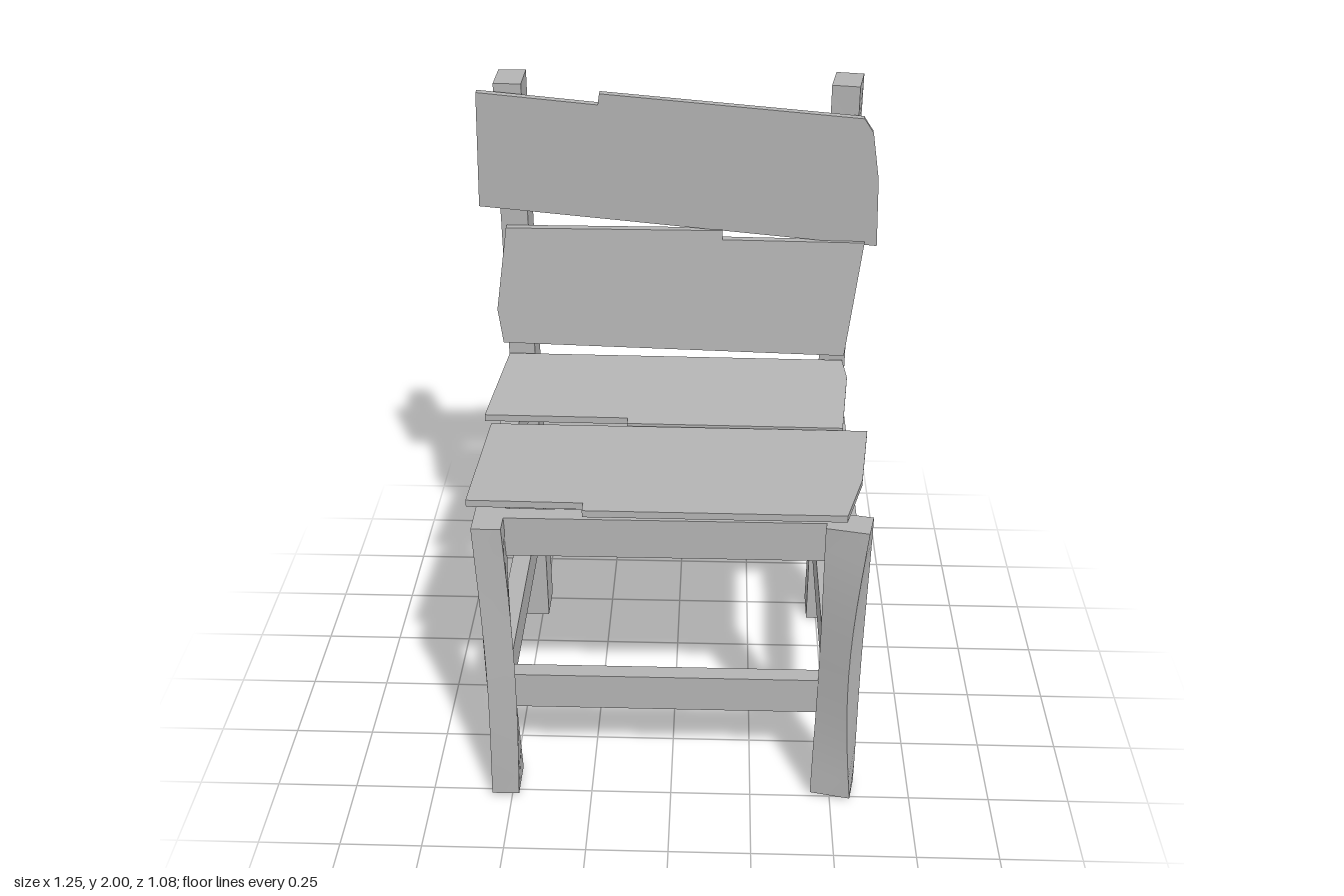
import * as THREE from 'three';

export function createModel() {
  const model = new THREE.Group();
  const wood = new THREE.MeshStandardMaterial({ color: 0xb4b4b4 });
  wood.name = 'grey wood';

  const add = (name, geometry) => {
    const mesh = new THREE.Mesh(geometry, wood);
    mesh.name = name;
    model.add(mesh);
    return mesh;
  };

  // Box between two corners
  const rail = (name, x0, x1, y0, y1, z0, z1) =>
    add(name, new THREE.BoxGeometry(x1 - x0, y1 - y0, z1 - z0))
      .position.set((x0 + x1) / 2, (y0 + y1) / 2, (z0 + z1) / 2);

  // Post whose section turns and swells along its height; rule(t) gives [angle, scaleX, scaleZ]
  const post = (name, x, z, w, d, y0, y1, rule) => {
    const h = y1 - y0;
    const g = new THREE.BoxGeometry(w, h, d, 1, 12, 1);
    const p = g.attributes.position;
    for (let i = 0; i < p.count; i++) {
      const [a, sx, sz] = rule(p.getY(i) / h + 0.5);
      const px = p.getX(i) * sx, pz = p.getZ(i) * sz;
      p.setX(i, px * Math.cos(a) + pz * Math.sin(a));
      p.setZ(i, -px * Math.sin(a) + pz * Math.cos(a));
    }
    g.computeVertexNormals();
    add(name, g).position.set(x, y0 + h / 2, z);
  };

  // Rough plank cut from an outline
  const plank = (outline, thickness) => new THREE.ExtrudeGeometry(
    new THREE.Shape(outline.map(([x, y]) => new THREE.Vector2(x, y))),
    { depth: thickness, bevelEnabled: false });

  // Seat board: outline in x and z, height rising by slope along z and roll along x
  const seatBoard = (name, outline, y, slope, roll) => {
    const g = plank(outline.map(([x, z]) => [x, -z]), 0.022).rotateX(-Math.PI / 2);
    const p = g.attributes.position;
    for (let i = 0; i < p.count; i++) {
      p.setY(i, p.getY(i) + y + slope * p.getZ(i) + roll * p.getX(i));
    }
    g.computeVertexNormals();
    add(name, g);
  };

  // Back slat: outline in x and y, leaning by slope along y
  const backSlat = (name, outline, z, slope, y0) => {
    const g = plank(outline, 0.025);
    const p = g.attributes.position;
    for (let i = 0; i < p.count; i++) {
      p.setZ(i, p.getZ(i) + z + slope * (p.getY(i) - y0));
    }
    g.computeVertexNormals();
    add(name, g);
  };

  // Posts and legs
  const bulge = t => Math.sin(Math.PI * t);
  post('rightBackPost', -0.52, -0.47, 0.085, 0.135, 0, 2, () => [0, 1, 1]);
  post('leftBackPost', 0.508, -0.475, 0.085, 0.128, 0, 2, t => [-0.16 * t, 1, 1]);
  post('rightFrontLeg', -0.52, 0.467, 0.085, 0.122, 0.01, 1.02,
    t => [0.2 * bulge(t), 1, 1 + 0.06 * bulge(t)]);
  post('leftFrontLeg', 0.509, 0.465, 0.125, 0.085, 0.01, 1.02,
    t => [-0.2 - 0.35 * bulge(t), 1 - 0.2 * bulge(t), 1 - 0.05 * bulge(t)]);

  // Rails
  for (const [level, y0, y1] of [['lower', 0.32, 0.445], ['upper', 0.89, 1.02]]) {
    rail(level + 'FrontRail', -0.49, 0.47, y0, y1, 0.42, 0.47);
    rail(level + 'BackRail', -0.49, 0.48, y0, y1, -0.505, -0.455);
    rail(level + 'RightRail', -0.555, -0.495, y0 + 0.005, y1 - 0.003, -0.41, 0.43);
    rail(level + 'LeftRail', 0.47, 0.53, y0 + 0.005, y1 - 0.003, -0.42, 0.43);
  }
  rail('topBackRail', -0.49, 0.48, 1.685, 1.815, -0.505, -0.455);

  // Seat
  seatBoard('frontSeatBoard', [[-0.57, 0.01], [-0.585, 0.45], [-0.25, 0.45], [-0.25, 0.49],
    [0.5, 0.485], [0.555, 0.29], [0.59, 0.005]], 1.032, 0.015, -0.008);
  seatBoard('backSeatBoard', [[-0.56, -0.395], [-0.595, -0.03], [-0.15, -0.03], [-0.15, 0],
    [0.515, 0], [0.545, -0.29], [0.535, -0.395]], 1.037, -0.065, -0.008);

  // Backrest
  backSlat('lowerBackSlat', [[-0.57, 1.155], [0.535, 1.125], [0.58, 1.51], [0.135, 1.515],
    [0.135, 1.545], [-0.545, 1.545], [-0.585, 1.27]], -0.367, -0.075, 1.13);
  backSlat('upperBackSlat', [[-0.625, 1.615], [0.62, 1.495], [0.61, 1.72], [0.585, 1.87],
    [0.555, 1.915], [-0.24, 1.985], [-0.245, 1.95], [-0.61, 1.985]], -0.408, 0.04, 1.5);

  return model;
}
